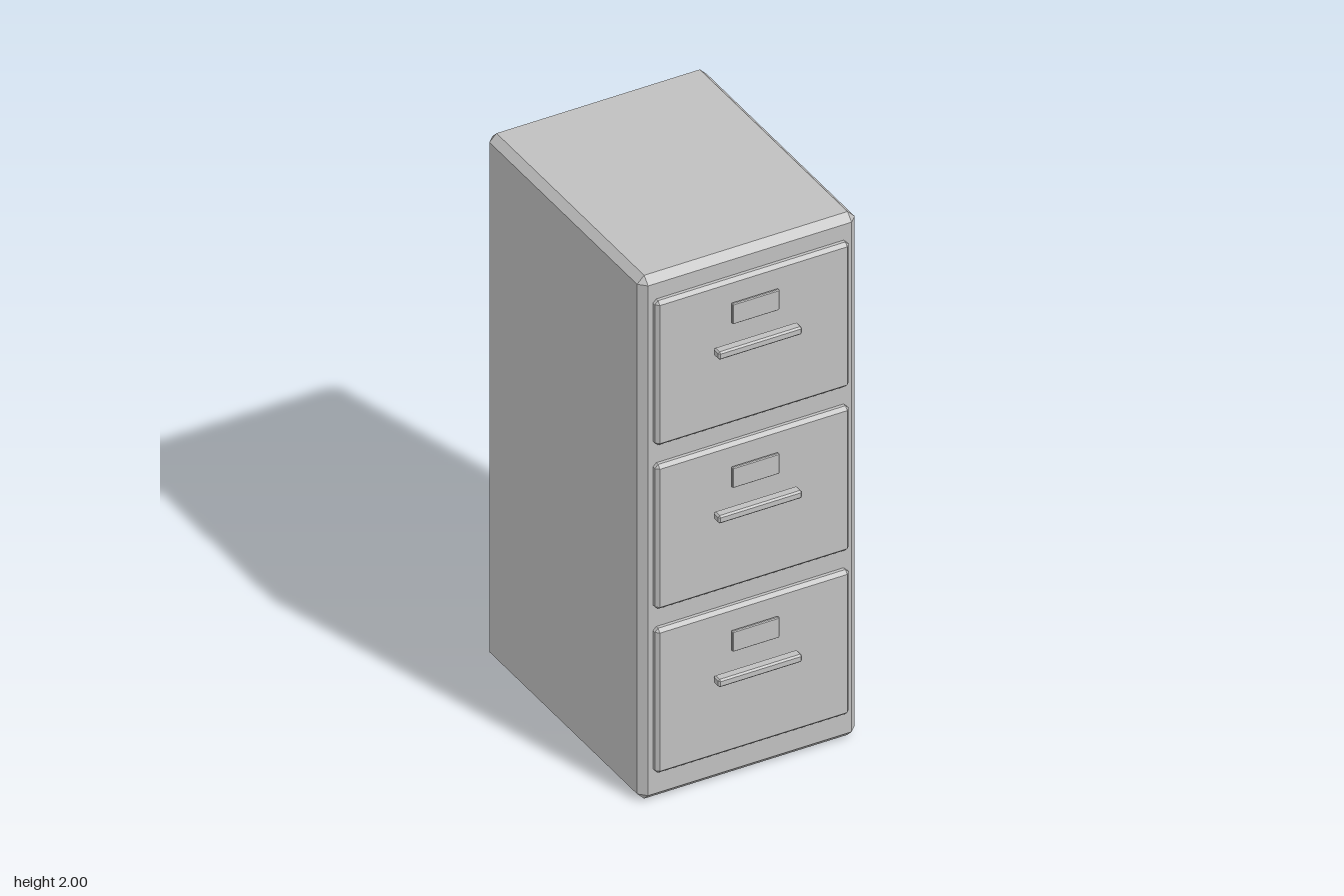
import * as THREE from 'three';
import { ConvexGeometry } from 'three/addons/geometries/ConvexGeometry.js';

const paint = new THREE.MeshStandardMaterial({ color: 0xc0c0c0 });
paint.name = 'grey paint';

// Box with every edge cut by a flat bevel, spanning z0..z1 around (0, y)
function bevelBox(name, width, height, z0, z1, bevel, y) {
  const half = [width / 2, height / 2, (z1 - z0) / 2];
  const points = [];
  for (const sx of [-1, 1]) for (const sy of [-1, 1]) for (const sz of [-1, 1]) {
    // three points per corner, each staying full size along one axis
    for (let axis = 0; axis < 3; axis++) {
      const [x, yy, z] = half.map((h, i) => (i === axis ? h : h - bevel));
      points.push(new THREE.Vector3(sx * x, sy * yy, sz * z));
    }
  }
  const mesh = new THREE.Mesh(new ConvexGeometry(points), paint);
  mesh.name = name;
  mesh.position.set(0, y, (z0 + z1) / 2);
  return mesh;
}

// Drawer front with its label holder and pull bar
function makeDrawer(name, y) {
  const drawer = new THREE.Group();
  drawer.name = name;
  drawer.position.y = y;
  drawer.add(
    bevelBox('drawerFront', 0.713, 0.552, 0.453, 0.49, 0.012, 0),
    bevelBox('labelHolder', 0.173, 0.078, 0.495, 0.507, 0.003, 0.155),
    bevelBox('handle', 0.308, 0.03, 0.499, 0.537, 0.006, 0.032)
  );
  return drawer;
}

export function createModel() {
  const cabinet = new THREE.Group();
  cabinet.name = 'filingCabinet';
  cabinet.add(bevelBox('body', 0.8, 2, -0.537, 0.466, 0.026, 1));
  ['bottomDrawer', 'middleDrawer', 'topDrawer'].forEach((name, i) =>
    cabinet.add(makeDrawer(name, 0.387 + i * 0.626)));
  return cabinet;
}
